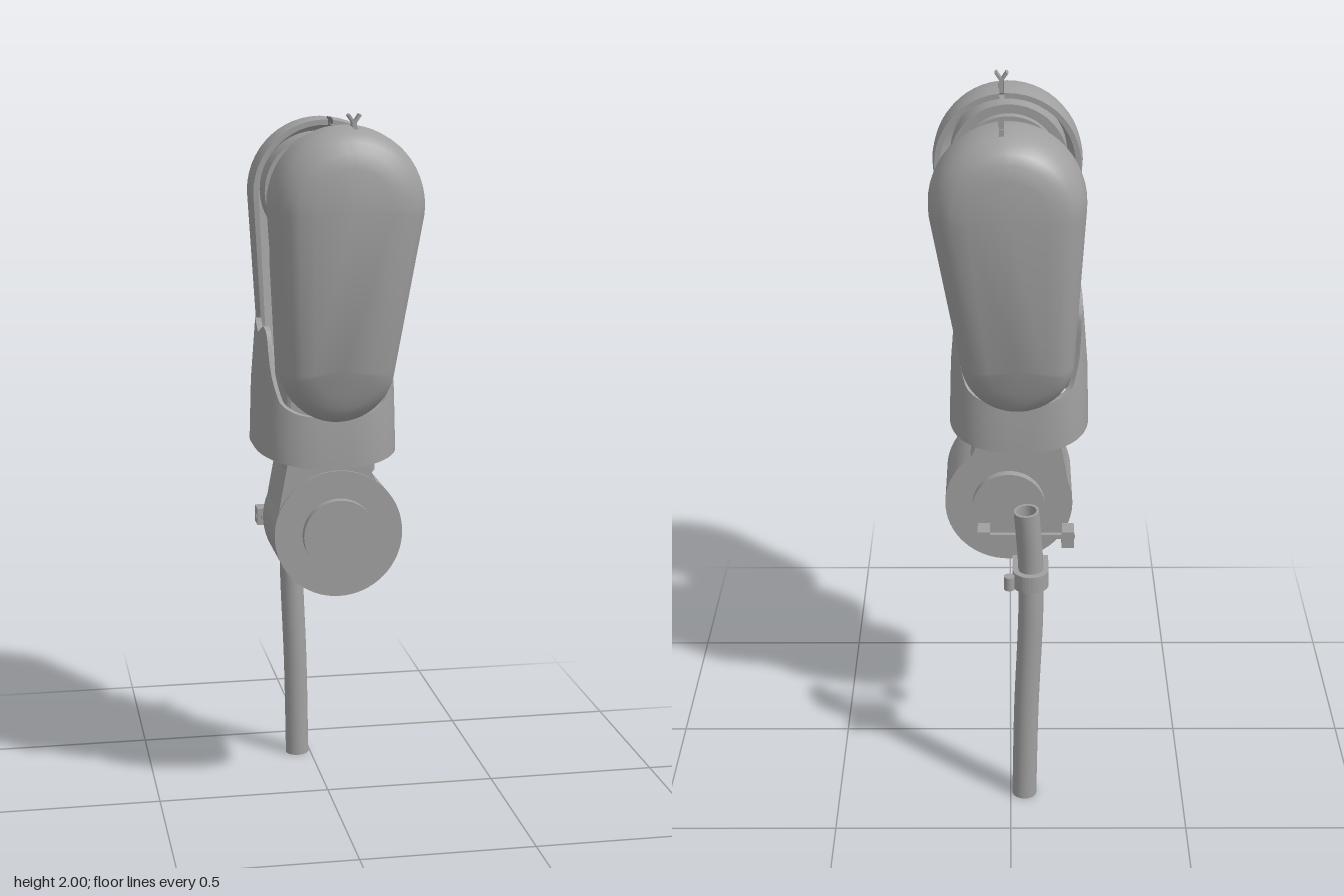
import * as THREE from 'three';
import { toCreasedNormals } from 'three/addons/utils/BufferGeometryUtils.js';

const grey = new THREE.MeshStandardMaterial({ color: 0xa0a0a0, side: THREE.DoubleSide });
grey.name = 'grey';
const MID = 0.033; // centre plane of the limb in z

function mesh(name, geometry, x = 0, y = 0, z = 0) {
  const m = new THREE.Mesh(geometry, grey);
  m.name = name;
  m.position.set(x, y, z);
  return m;
}

// Cylinder lying along z between two depths
function disc(name, r, x, y, z0, z1) {
  const m = mesh(name, new THREE.CylinderGeometry(r, r, z1 - z0, 64), x, y, (z0 + z1) / 2);
  m.rotation.x = Math.PI / 2;
  return m;
}

// Surface through rows of points, with an optional test for quads to leave out
function skin(rows, closed, skip = () => false, crease = 0.6) {
  const n = rows[0].length, index = [];
  for (let r = 0; r < rows.length - 1; r++) {
    for (let i = 0; i < (closed ? n : n - 1); i++) {
      if (skip(r, i)) continue;
      const a = r * n + i, b = r * n + (i + 1) % n;
      index.push(a, b, a + n, b, b + n, a + n);
    }
  }
  const g = new THREE.BufferGeometry();
  g.setAttribute('position', new THREE.Float32BufferAttribute(rows.flat(2), 3));
  g.setIndex(index);
  return toCreasedNormals(g, crease);
}

function extrude(points, depth, bevel = 0) {
  const shape = points instanceof THREE.Shape ? points
    : new THREE.Shape(points.map(([x, y]) => new THREE.Vector2(x, y)));
  return new THREE.ExtrudeGeometry(shape, {
    depth, curveSegments: 20, bevelEnabled: bevel > 0,
    bevelSize: bevel, bevelThickness: bevel, bevelOffset: -bevel, bevelSegments: 3,
  });
}

// Hollow egg-shaped cover, open towards the middle, with a slot in its crown
function shell(name, rim, dir) {
  const outline = [];
  const top = { x: 0.008, y: 1.76, r: 0.21 }, low = { x: -0.018, y: 1.33, r: 0.157 };
  const tilt = 0.12, N = 28;
  const slot = [0.0325, 0.0175].map((x) => Math.acos((x - top.x) / top.r));
  const angles = [...slot];
  for (let i = 0; i <= N; i++) {
    const a = -tilt + (Math.PI + 2 * tilt) * i / N;
    if (a < slot[0] - 0.02 || a > slot[1] + 0.02) angles.push(a);
  }
  angles.sort((a, b) => a - b);
  const slotAt = angles.indexOf(slot[0]);
  angles.forEach((a) => outline.push([top, a]));
  for (let i = 0; i <= N; i++) {
    outline.push([low, Math.PI + tilt + (Math.PI - 2 * tilt) * i / N]);
  }
  // [scale of outline, depth] from the inner floor, round the rim, to the outer face
  const section = [[0, 0.175], [0.6, 0.17], [0.8, 0.15], [0.87, 0.13], [0.9, 0.08], [0.9, 0.03], [0.9, 0],
    [0.97, 0], [0.99, 0.025], [1, 0.05], [0.99, 0.1], [0.965, 0.13], [0.92, 0.153], [0.82, 0.183],
    [0.7, 0.197], [0.5, 0.205], [0, 0.21]];
  const rows = section.map(([k, d]) => outline.map(([c, a]) => {
    const x = c.x + c.r * k * Math.cos(a), y = c.y + c.r * k * Math.sin(a);
    const t = 1 - THREE.MathUtils.smoothstep(y, 1.15, 1.45);
    return [x, y, rim + dir * (d + t * (0.05 - 0.5 * d))]; // thinner at the toe
  }));
  return mesh(name, skin(rows, true, (r, i) => i === slotAt && r >= 3 && r < 11));
}

// Flared collar: oval wall with tall sides, low ends and a seam on one side
function collar() {
  const rows = [], A = 0.197, B = 0.22, n = 3.2, N = 120, gap = 0.035;
  const rimCurve = [[0, 1.39], [0.08, 1.42], [0.115, 1.405], [0.15, 1.3], [0.185, 1.22], [0.225, 1.18]];
  const rimAt = (dz) => {
    const i = Math.max(1, rimCurve.findIndex(([z]) => z >= dz));
    const [z0, y0] = rimCurve[i - 1], [z1, y1] = rimCurve[i];
    return y0 + (y1 - y0) * (dz - z0) / (z1 - z0);
  };
  for (let i = 0; i <= N; i++) {
    const a = gap + (2 * Math.PI - 2 * gap) * i / N, c = Math.cos(a), s = Math.sin(a);
    const r = (Math.abs(c / A) ** n + Math.abs(s / B) ** n) ** (-1 / n);
    const high = rimAt(Math.min(0.22, Math.abs(r * s))), low = 1.04 + 0.03 * Math.abs(r * c / A) ** 2;
    const point = (inset, y) => {
      const taper = 1 - 0.3 * Math.max(0, y - 1.15);
      return [-0.024 + (r - inset) * c * taper, y, MID + (r - inset) * s];
    };
    rows.push([point(0, low), point(0, (low + high) / 2), point(0.004, high), point(0.022, high),
      point(0.022, (low + high) / 2), point(0.018, low)]);
  }
  return mesh('collar', skin(rows, true));
}

export function createModel() {
  const model = new THREE.Group();
  model.name = 'jointedLimb';

  // Upper joint: covers, hubs
  model.add(shell('frontCover', 0.16, 1), shell('backCover', -0.095, -1));
  for (const s of [1, -1]) {
    const pair = (name, r, a, b) => model.add(
      disc(name, r, 0.005, 1.76, Math.min(MID + s * a, MID + s * b), Math.max(MID + s * a, MID + s * b)));
    pair('upperHub', 0.165, 0.15, 0.25);
    pair('upperHubRing', 0.14, 0.122, 0.2);
    pair('upperHubCap', 0.105, 0.116, 0.2);
  }

  // Fork: U-shaped profile swept across x
  const half = [[0.1, 1.0], [0.105, 1.25], [0.15, 1.4], [0.2, 1.55], [0.2, 1.76], [0.14, 1.76],
    [0.132, 1.64], [0.124, 1.58], [0.108, 1.553], [0.075, 1.54]];
  const fork = extrude([...half, ...half.map(([z, y]) => [-z, y]).reverse()], 0.23, 0.012);
  fork.rotateY(-Math.PI / 2);
  model.add(mesh('fork', toCreasedNormals(fork, 0.6), 0.1, 0, MID));

  model.add(collar());

  // Neck running down to the lower joint
  const neck = new THREE.Shape();
  neck.moveTo(-0.125, 1.25);
  neck.lineTo(-0.137, 1.04);
  neck.lineTo(-0.174, 0.84);
  neck.lineTo(0.005, 0.8);
  neck.lineTo(0.152, 0.935);
  neck.quadraticCurveTo(0.095, 0.975, 0.095, 1.04);
  neck.lineTo(0.09, 1.25);
  model.add(mesh('neck', extrude(neck, 0.22), 0, 0, -0.08));

  // Lower joint drum and end caps
  model.add(
    disc('lowerDrum', 0.182, 0.005, 0.828, -0.08, 0.148),
    disc('lowerDrumCap', 0.103, 0.005, 0.828, -0.105, 0.175),
  );

  // Hollow hose
  const path = new THREE.CatmullRomCurve3([[-0.04, 0, -0.325], [-0.045, 0.3, -0.325], [-0.056, 0.6, -0.324],
    [-0.056, 0.75, -0.32], [-0.043, 0.938, -0.334]].map((p) => new THREE.Vector3(...p)));
  model.add(
    mesh('hose', new THREE.TubeGeometry(path, 48, 0.035, 28)),
    mesh('hoseBore', new THREE.TubeGeometry(path, 48, 0.027, 28)),
  );
  for (const t of [0, 1]) {
    const end = mesh('hoseEnd', new THREE.RingGeometry(0.027, 0.035, 28), ...path.getPoint(t).toArray());
    end.lookAt(end.position.clone().addScaledVector(path.getTangent(t), t ? 1 : -1));
    model.add(end);
  }

  // Hose clamp: ring with a square tail and a small lug
  const clamp = new THREE.Shape();
  clamp.moveTo(-0.105, 0.245);
  clamp.lineTo(-0.105, 0.325);
  clamp.absarc(-0.055, 0.325, 0.05, Math.PI, 0, true);
  clamp.lineTo(-0.005, 0.245);
  const bore = new THREE.Path();
  bore.absarc(-0.055, 0.322, 0.034, 0, Math.PI * 2);
  clamp.holes.push(bore);
  const clampMesh = mesh('hoseClamp', toCreasedNormals(extrude(clamp, 0.05), 0.6), 0, 0.7, 0);
  clampMesh.rotation.x = -Math.PI / 2;
  model.add(clampMesh);
  model.add(mesh('clampLug', new THREE.CylinderGeometry(0.015, 0.015, 0.04, 20), 0.004, 0.725, -0.355));
  model.add(disc('clampScrew', 0.008, -0.055, 0.725, -0.25, -0.235));

  // Small crossbar with blocks and pins beside the drum
  model.add(mesh('crossbar', new THREE.BoxGeometry(0.26, 0.012, 0.014), -0.05, 0.795, -0.215));
  for (const x of [-0.16, 0.075]) {
    model.add(mesh('crossbarBlock', new THREE.BoxGeometry(0.035, 0.05, 0.055), x, 0.797, -0.218));
    model.add(disc('crossbarPin', 0.008, x, 0.797, -0.19, -0.17));
  }

  // Cable clip on the crown of the front cover
  model.add(mesh('clip', new THREE.BoxGeometry(0.012, 0.04, 0.03), 0.025, 1.962, 0.25));
  for (const s of [1, -1]) {
    const prong = mesh('clipProng', new THREE.BoxGeometry(0.007, 0.025, 0.03), 0.025 + s * 0.009, 1.988, 0.25);
    prong.rotation.z = -s * 0.6;
    model.add(prong);
  }
  return model;
}
